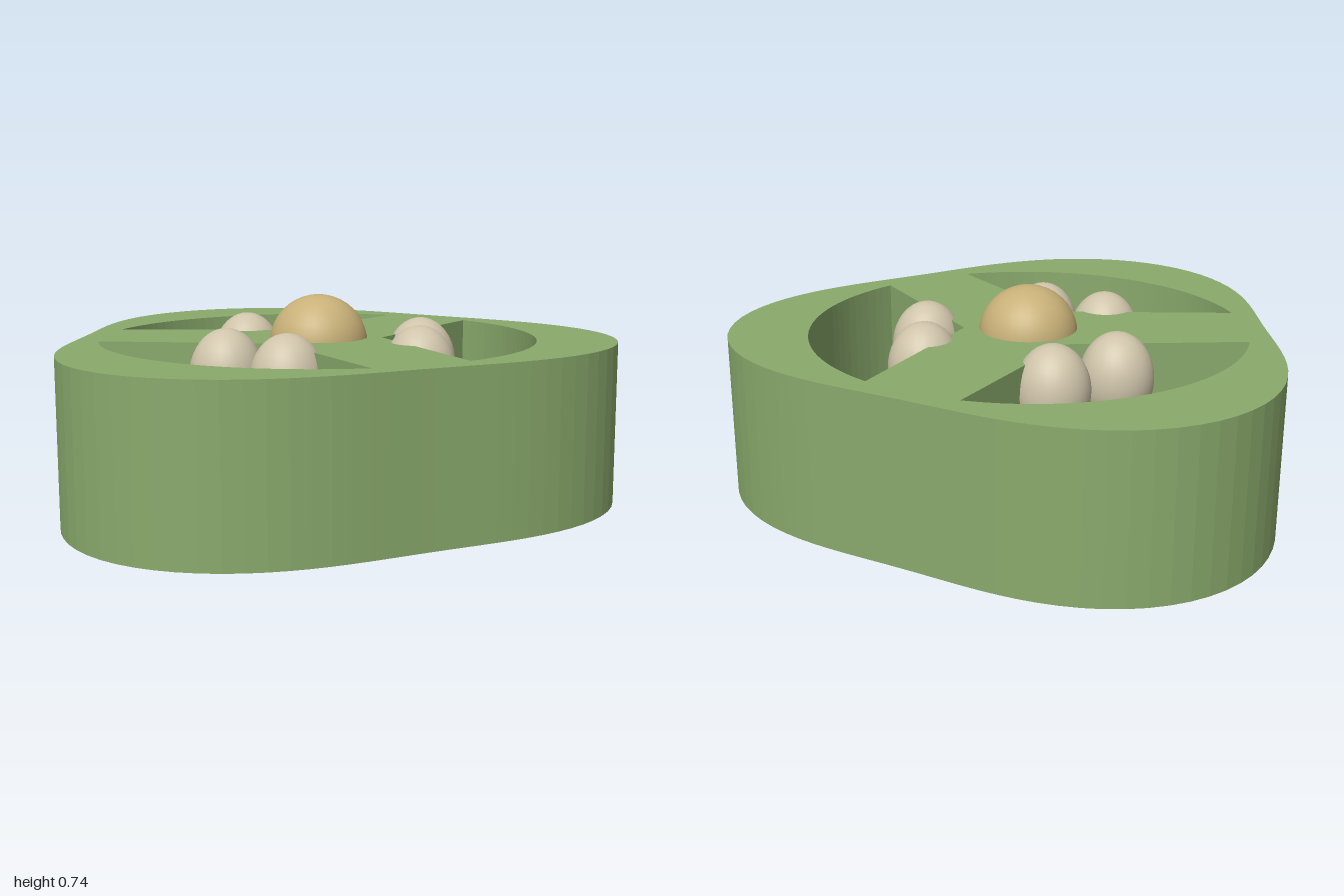
import * as THREE from 'three';

const CX = -0.11;      // axis of the three-fold body
const HEIGHT = 0.58;
const THIRD = (Math.PI * 2) / 3;

const polar = (r, a) => new THREE.Vector2(CX + r * Math.cos(a), r * Math.sin(a));

// Three-lobed outline
function outline(segments) {
  const pts = [];
  for (let i = 0; i < segments; i++) {
    const a = (i / segments) * Math.PI * 2;
    pts.push(polar(0.96 + 0.11 * Math.cos(3 * a), a));
  }
  return pts;
}

// Pie-shaped chamber: apex near the axis, arc on the outside
function chamber(angle) {
  const half = THREE.MathUtils.degToRad(47), steps = 32;
  const pts = [polar(0.23, angle)];
  for (let i = 0; i <= steps; i++) {
    pts.push(polar(0.784, angle - half + (2 * half * i) / steps));
  }
  return new THREE.Path(pts);
}

export function createModel() {
  const green = new THREE.MeshStandardMaterial({ color: 0x8aaa6c });
  green.name = 'podGreen';
  const cream = new THREE.MeshStandardMaterial({ color: 0xcfc4aa });
  cream.name = 'seedCream';
  const tan = new THREE.MeshStandardMaterial({ color: 0xc8b078 });
  tan.name = 'coreTan';

  const model = new THREE.Group();
  model.name = 'podSlice';

  const add = (name, geometry, material, x = 0, y = 0, z = 0) => {
    const mesh = new THREE.Mesh(geometry, material);
    mesh.name = name;
    mesh.position.set(x, y, z);
    model.add(mesh);
    return mesh;
  };

  // Body with three open chambers
  const shape = new THREE.Shape(outline(96));
  for (let k = 0; k < 3; k++) shape.holes.push(chamber(k * THIRD));
  const body = new THREE.ExtrudeGeometry(shape, { depth: HEIGHT, bevelEnabled: false });
  body.rotateX(-Math.PI / 2);
  add('podBody', body, green);

  // Central dome
  add('coreDome', new THREE.SphereGeometry(0.178, 32, 20), tan, CX, 0.557, 0);

  // A pair of upright egg-shaped seeds in each chamber
  const seed = new THREE.SphereGeometry(0.13, 28, 20).scale(1, 0.165 / 0.13, 1);
  for (let k = 0; k < 3; k++) {
    for (const side of [-1, 1]) {
      const p = polar(0.39, k * THIRD + side * THREE.MathUtils.degToRad(19.5));
      add('seed', seed, cream, p.x, 0.475, p.y);
    }
  }
  return model;
}
